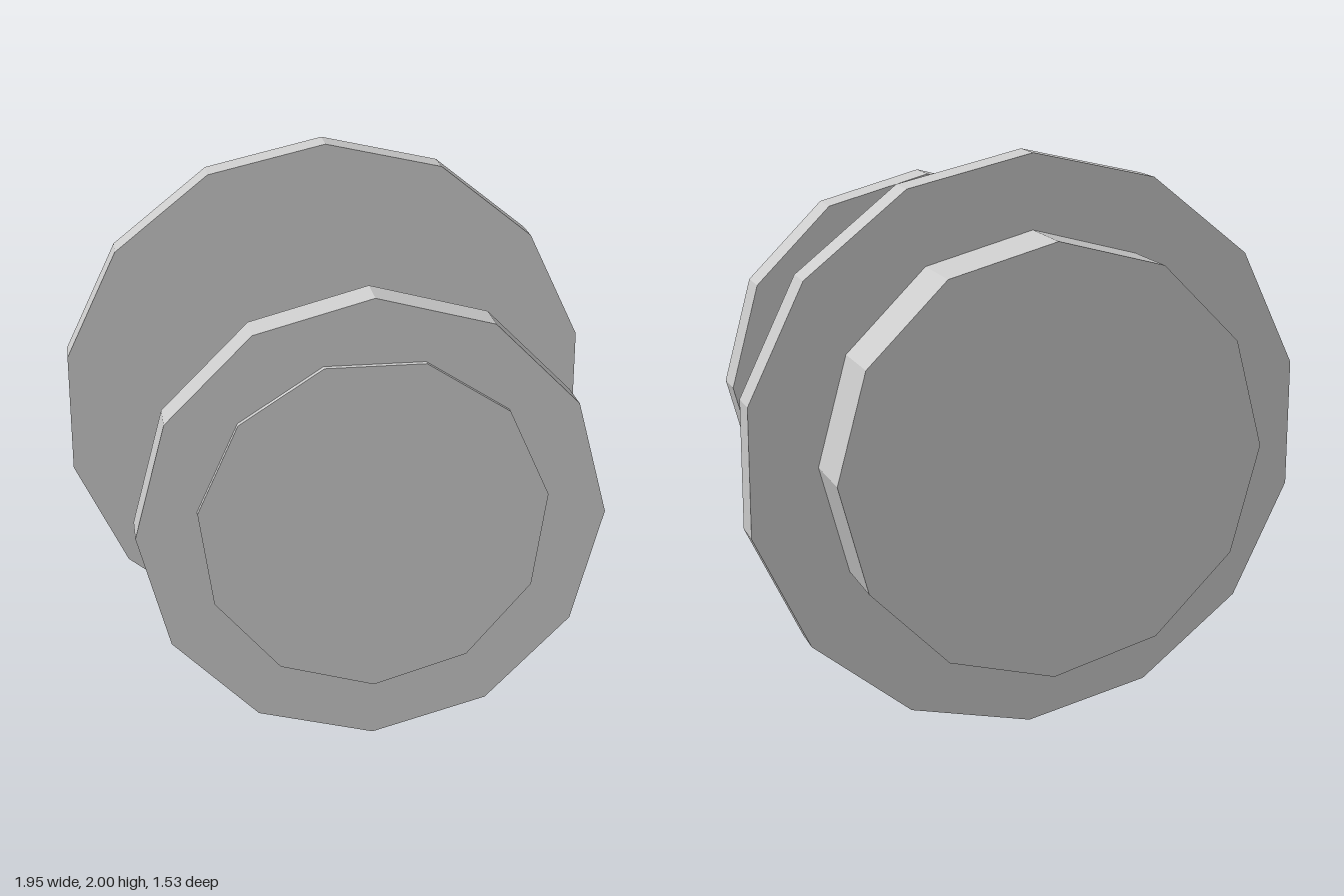
import * as THREE from 'three';

const AXIS_HEIGHT = 1;

export function createModel() {
  const group = new THREE.Group();
  group.name = 'spool';
  const material = new THREE.MeshStandardMaterial({ color: 0xcccccc, flatShading: true });

  // Faceted disc along z, with one corner pointing straight down
  function disc(name, sides, radius, zBack, zFront) {
    const geometry = new THREE.CylinderGeometry(radius, radius, zFront - zBack, sides);
    geometry.rotateX(Math.PI / 2);
    const mesh = new THREE.Mesh(geometry, material);
    mesh.name = name;
    mesh.position.set(0, AXIS_HEIGHT, (zBack + zFront) / 2);
    group.add(mesh);
  }

  disc('backDrum', 12, 0.745, -0.765, -0.53);
  disc('backFlange', 14, 1, -0.53, -0.413);
  disc('shaft', 9, 0.35, -0.413, 0.61);
  disc('frontFlange', 12, 0.783, 0.61, 0.745);
  disc('frontPlate', 11, 0.587, 0.745, 0.765);

  return group;
}
